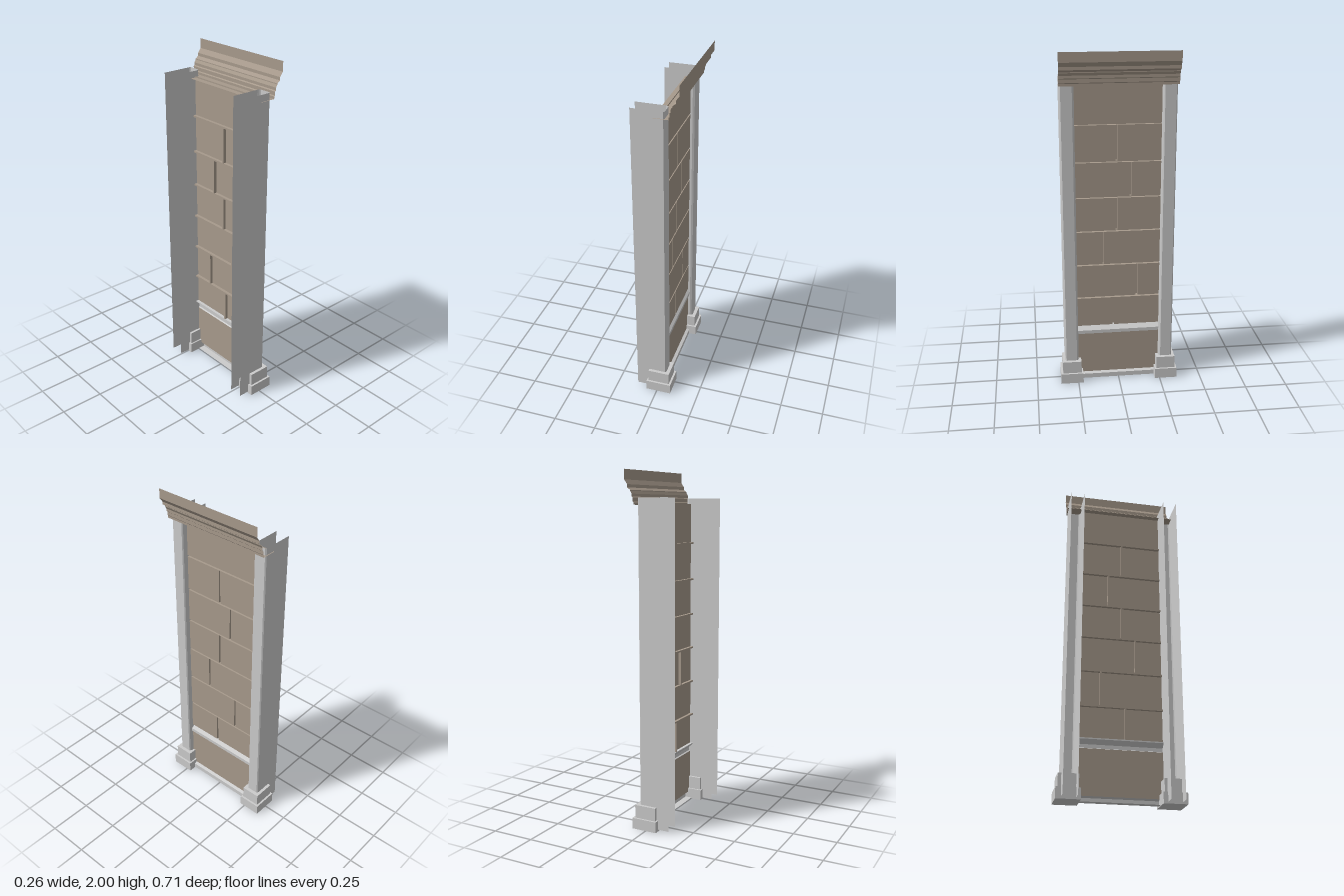
import * as THREE from 'three';

const grey = new THREE.MeshStandardMaterial({ color: 0xcccccc, flatShading: true, side: THREE.DoubleSide });
const stone = new THREE.MeshStandardMaterial({ color: 0xa79a8c, flatShading: true, side: THREE.DoubleSide });

// Open sheet: a profile of [x, t] points swept from a to b.
// along 'z': t is height; along 'y': t is depth.
function sweep(name, profile, along, a, b, material) {
  const at = ([x, t], s) => (along === 'z' ? [x, t, s] : [x, s, t]);
  const pos = [];
  for (let i = 0; i < profile.length - 1; i++) {
    const p = at(profile[i], a), q = at(profile[i + 1], a);
    const r = at(profile[i + 1], b), s = at(profile[i], b);
    pos.push(...p, ...r, ...q, ...p, ...s, ...r);
  }
  const g = new THREE.BufferGeometry();
  g.setAttribute('position', new THREE.Float32BufferAttribute(pos, 3));
  g.computeVertexNormals();
  const mesh = new THREE.Mesh(g, material);
  mesh.name = name;
  return mesh;
}

function box(name, x0, x1, y0, y1, z0, z1) {
  const mesh = new THREE.Mesh(new THREE.BoxGeometry(x1 - x0, y1 - y0, z1 - z0), grey);
  mesh.position.set((x0 + x1) / 2, (y0 + y1) / 2, (z0 + z1) / 2);
  mesh.name = name;
  return mesh;
}

const FACE = 0.022, DEEP = 0.004, HALF = 0.245, GAP = 0.005;

// Recessed mortar joint centred on t
const joint = (t) => [[FACE, t - GAP], [DEEP, t - GAP], [DEEP, t + GAP], [FACE, t + GAP]];

function createWall() {
  const wall = new THREE.Group();
  wall.name = 'blockWall';
  const face = (y0, y1, z0, z1) =>
    wall.add(sweep('block', [[FACE, y0], [FACE, y1]], 'z', z0, z1, stone));

  // Courses from the bottom up, each with one upright joint
  const levels = [0.35, 0.54, 0.75, 0.96, 1.165, 1.375, 1.59];
  const uprights = [0.03, -0.11, 0.09, 0.01, -0.07, 0.01];
  uprights.forEach((z, i) => {
    const y0 = levels[i] + GAP, y1 = levels[i + 1] - GAP;
    face(y0, y1, -HALF, z - GAP);
    face(y0, y1, z + GAP, HALF);
    wall.add(sweep('uprightJoint', joint(z), 'y', y0, y1, stone));
    wall.add(sweep('courseJoint', joint(levels[i + 1]), 'z', -HALF, HALF, stone));
  });
  face(1.595, 1.82, -HALF, HALF); // top course
  face(0.04, 0.3, -HALF, HALF); // dado panel
  return wall;
}

export function createModel() {
  const model = new THREE.Group();
  model.name = 'wallBay';
  model.add(createWall());

  // Horizontal mouldings
  model.add(sweep('dadoRail', [[FACE, 0.3], [0.03, 0.304], [0.03, 0.325], [DEEP, 0.348],
    [DEEP, 0.355], [FACE, 0.355]], 'z', -HALF, HALF, grey));
  model.add(sweep('baseRail', [[0, 0.005], [0.04, 0.005], [0.04, 0.033], [FACE, 0.04]],
    'z', -HALF, HALF, grey));

  // Pilasters: open-backed channels on stepped plinths
  for (const s of [-1, 1]) {
    const pilaster = new THREE.Group();
    pilaster.name = s > 0 ? 'frontPilaster' : 'backPilaster';
    const profile = [[-0.13, 0.325], [0.046, 0.325], [0.052, 0.319], [0.052, 0.256],
      [0.046, 0.25], [0.035, 0.245], [-0.13, 0.245]].map(([x, z]) => [x, z * s]);
    pilaster.add(sweep('shaft', profile, 'y', 0.01, 1.85, grey));
    const span = (a, b) => (s > 0 ? [a, b] : [-b, -a]);
    pilaster.add(box('lowerPlinth', -0.065, 0.085, 0, 0.063, ...span(0.22, 0.355)));
    pilaster.add(box('upperPlinth', -0.055, 0.073, 0.063, 0.138, ...span(0.23, 0.343)));
    model.add(pilaster);
  }

  // Stepped cornice, open at the back and ends
  model.add(sweep('cornice', [[-0.01, 1.812], [0.075, 1.812], [0.075, 1.825], [0.08, 1.83],
    [0.08, 1.85], [0.086, 1.855], [0.086, 1.87], [0.095, 1.885], [0.095, 1.89], [0.113, 1.903],
    [0.113, 1.92], [0.131, 1.945], [0.131, 2]], 'z', -0.33, 0.33, stone));
  return model;
}
